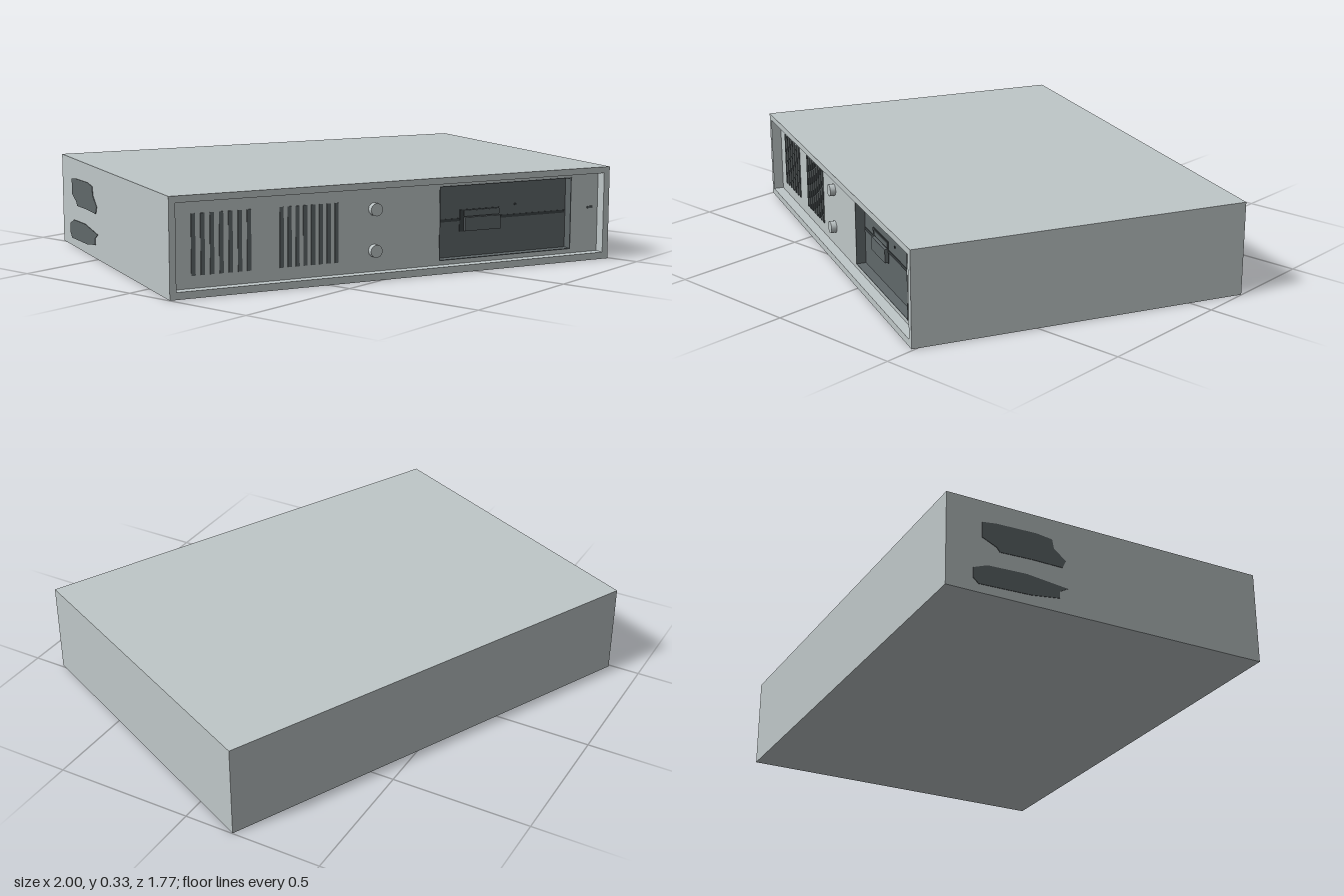
import * as THREE from 'three';

const W = 1.65, H = 0.33, D = 1.18;          // case size
const FRONT = D / 2, PANEL = FRONT - 0.037, FLOOR = PANEL - 0.037; // z of rim, panel, drive bay floor

const mat = (name, color, extra = {}) => Object.assign(new THREE.MeshStandardMaterial({ color, ...extra }), { name });

export function createModel() {
  const group = new THREE.Group();
  group.name = 'desktopComputer';
  const shell = mat('light grey shell', 0xbfc7c8);
  const dark = mat('dark grey plastic', 0x60686a);
  const black = mat('slot black', 0x3c4244);

  const add = (name, geometry, material, x = 0, y = 0, z = 0) => {
    const mesh = new THREE.Mesh(geometry, material);
    mesh.name = name;
    mesh.position.set(x, y, z);
    group.add(mesh);
    return mesh;
  };
  // Box given by its x, y and z limits
  const block = (name, material, x0, x1, y0, y1, z0, z1) =>
    add(name, new THREE.BoxGeometry(x1 - x0, y1 - y0, z1 - z0), material, (x0 + x1) / 2, (y0 + y1) / 2, (z0 + z1) / 2);
  const rect = (T, x0, x1, y0, y1) => new T([[x0, y0], [x1, y0], [x1, y1], [x0, y1]].map(p => new THREE.Vector2(...p)));
  // Rectangular plate with a rectangular opening
  const frame = (name, material, outer, inner, z0, z1) => {
    const s = rect(THREE.Shape, ...outer);
    s.holes.push(rect(THREE.Path, ...inner));
    return add(name, new THREE.ExtrudeGeometry(s, { depth: z1 - z0, bevelEnabled: false }), material, 0, 0, z0);
  };

  // Case: body, front panel with drive opening, raised rim
  const outline = [-W / 2, W / 2, 0, H];
  const bay = [0.158, 0.69, 0.038, 0.295];
  const bayInner = [0.161, 0.687, 0.041, 0.292];
  block('caseBody', shell, ...outline, -FRONT, FLOOR);
  frame('frontPanel', shell, outline, bay, FLOOR, PANEL);
  frame('frontRim', shell, outline, [-0.803, 0.802, 0.024, 0.308], PANEL, FRONT);

  // Two groups of vent slots
  for (const [x0, x1, n] of [[-0.739, -0.534, 7], [-0.434, -0.223, 8]]) {
    const w = 0.014;
    for (let i = 0; i < n; i++) {
      const x = x0 + (x1 - x0 - w) * i / (n - 1);
      block('ventSlot', dark, x, x + w, 0.065, 0.265, PANEL - 0.002, PANEL + 0.003);
    }
  }

  // Round buttons
  for (const y of [0.095, 0.235]) {
    const knob = add('button', new THREE.CylinderGeometry(0.022, 0.022, 0.02, 12), shell, -0.09, y, PANEL + 0.01);
    knob.rotation.x = Math.PI / 2;
  }
  block('indicator', dark, 0.757, 0.779, 0.18, 0.188, PANEL - 0.002, PANEL + 0.004);

  // Disk drive: lining, face, slot, finger recess, lever and light
  frame('driveLining', dark, bay, bayInner, FLOOR, PANEL + 0.001);
  block('driveFace', dark, ...bayInner, FLOOR, FLOOR + 0.004);
  const face = FLOOR + 0.004;
  block('diskSlot', black, 0.165, 0.683, 0.165, 0.175, face - 0.002, face + 0.002);
  block('fingerRecess', black, 0.255, 0.412, 0.128, 0.204, face - 0.002, face + 0.003);
  block('driveLever', dark, 0.272, 0.412, 0.13, 0.178, face, face + 0.014);
  block('leverTop', dark, 0.272, 0.412, 0.182, 0.2, face, face + 0.005);
  block('driveLight', black, 0.475, 0.483, 0.206, 0.212, face - 0.002, face + 0.003);

  // Dark patches on the right side, as [z, y] outlines
  const patches = [
    [[-0.464, 0.252], [-0.413, 0.259], [-0.268, 0.263], [-0.211, 0.256], [-0.205, 0.224], [-0.161, 0.189],
      [-0.174, 0.162], [-0.287, 0.163], [-0.401, 0.159], [-0.413, 0.174], [-0.464, 0.197]],
    [[-0.495, 0.082], [-0.445, 0.101], [-0.306, 0.106], [-0.155, 0.09], [-0.186, 0.073], [-0.186, 0.049],
      [-0.287, 0.035], [-0.476, 0.029], [-0.495, 0.046]],
  ];
  for (const points of patches) {
    const shape = new THREE.Shape(points.map(p => new THREE.Vector2(...p)));
    const plate = add('sidePatch', new THREE.ExtrudeGeometry(shape, { depth: 0.003, bevelEnabled: false }), dark, -W / 2 + 0.001);
    plate.rotation.y = -Math.PI / 2;
  }

  // The whole case stands turned on its base
  group.rotation.y = -0.444;
  const model = new THREE.Group();
  model.name = 'model';
  model.add(group);
  return model;
}
